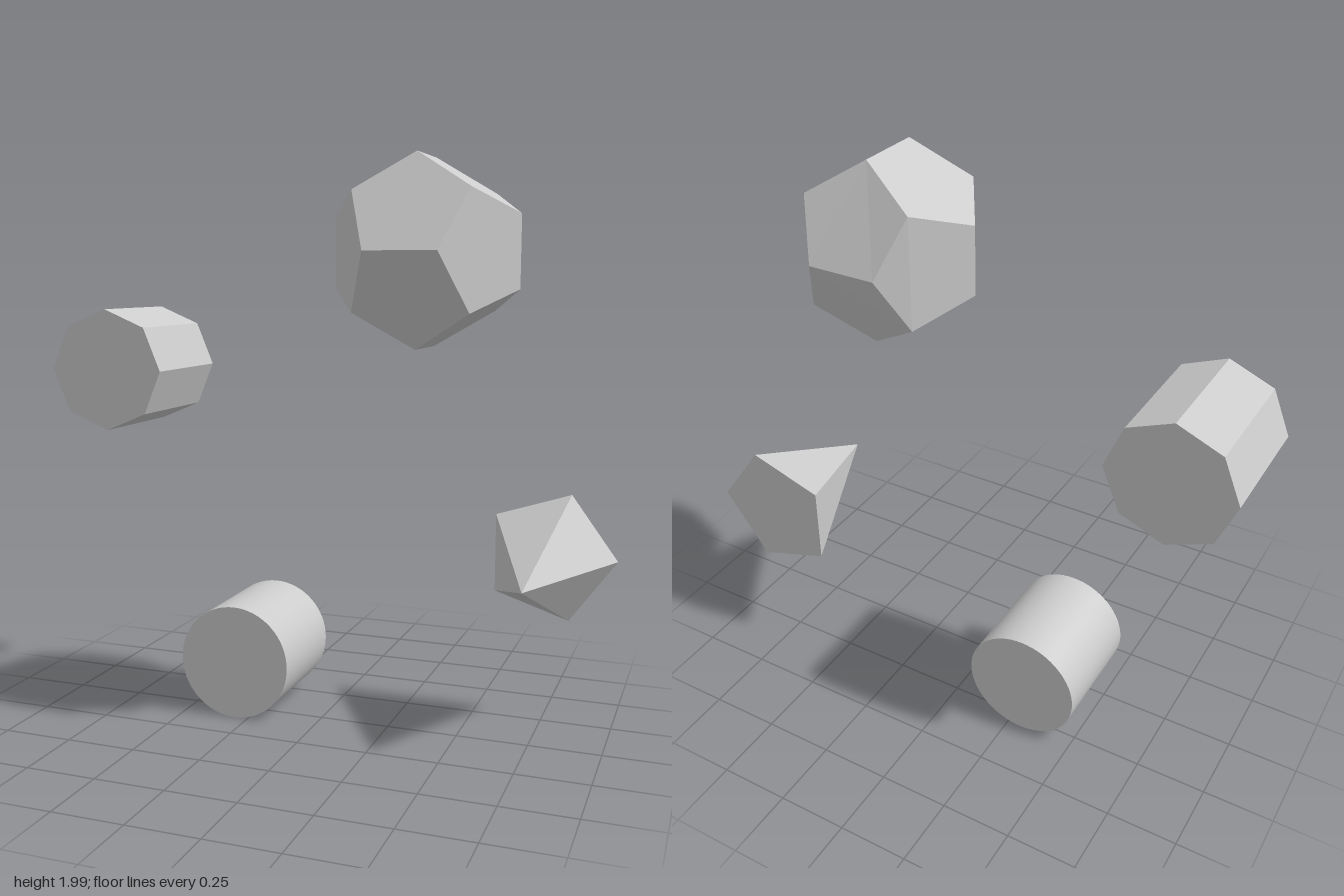
import * as THREE from 'three';

const BACK = -0.3; // shared back plane of the prism, cylinder and pyramid
const flat = new THREE.MeshStandardMaterial({ color: 0xcccccc, flatShading: true });
const smooth = new THREE.MeshStandardMaterial({ color: 0xcccccc });

// Solid with its axis along z, running from the back plane to zFront
function zSolid(name, rFront, rBack, sides, x, y, zFront, material, thetaStart = 0) {
  const depth = zFront - BACK;
  const geometry = new THREE.CylinderGeometry(rFront, rBack, depth, sides, 1, false, thetaStart);
  geometry.rotateX(Math.PI / 2);
  const mesh = new THREE.Mesh(geometry, material);
  mesh.name = name;
  mesh.position.set(x, y, BACK + depth / 2);
  return mesh;
}

// Dodecahedron whose rearmost edge is pressed slightly inwards
function dodecahedron() {
  const centreZ = -0.011;
  const geometry = new THREE.DodecahedronGeometry(0.342);
  geometry.rotateZ(Math.PI / 2);
  const p = geometry.attributes.position;
  for (let i = 0; i < p.count; i++) {
    p.setZ(i, Math.max(p.getZ(i), -0.307 - centreZ));
  }
  geometry.computeVertexNormals();
  const mesh = new THREE.Mesh(geometry, flat);
  mesh.name = 'dodecahedron';
  mesh.position.set(0.367, 1.67, centreZ);
  return mesh;
}

export function createModel() {
  const model = new THREE.Group();
  model.name = 'geometricSolids';
  model.add(
    zSolid('octagonalPrism', 0.2185, 0.2185, 8, -0.7815, 1.255, 0.135, flat),
    zSolid('cylinder', 0.206, 0.206, 64, -0.3, 0.206, 0.107, smooth),
    zSolid('pentagonalPyramid', 0, 0.2415, 5, 0.7585, 0.595, 0.228, flat, Math.PI / 2),
    dodecahedron()
  );
  return model;
}
